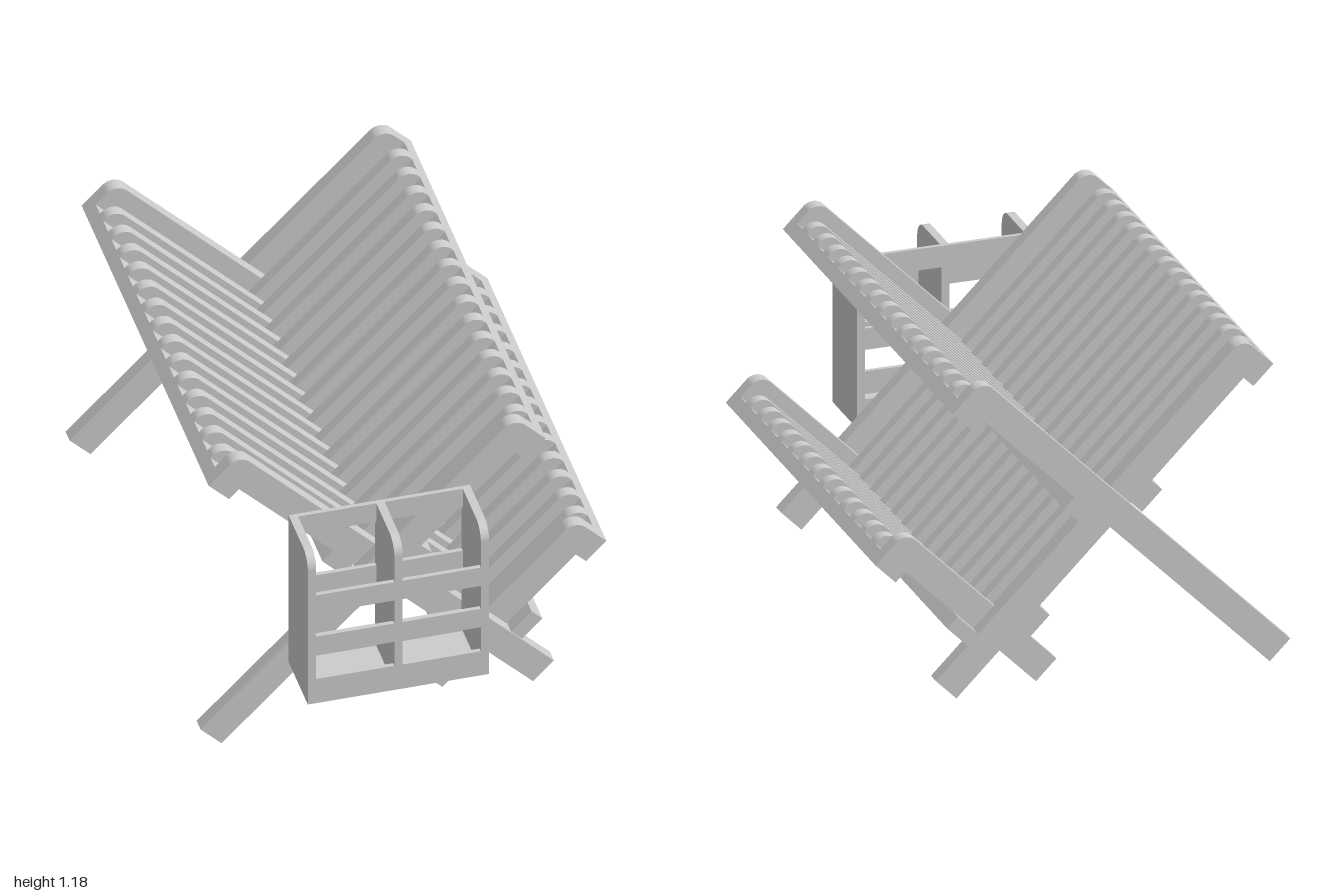
import * as THREE from 'three';

const mat = new THREE.MeshStandardMaterial({ color: 0xcccccc });
const ARM_T = 0.052, SLAT_T = 0.043, PITCH = 0.107;
const ARM_H = 0.106, RAIL_H = 0.051, HOOK_W = 0.104;

function add(parent, name, geometry, x = 0, y = 0, z = 0) {
  const mesh = new THREE.Mesh(geometry, mat);
  mesh.name = name;
  mesh.position.set(x, y, z);
  parent.add(mesh);
}

// Box given by its lower and upper limits on each axis
function block(parent, name, x0, x1, y0, y1, z0, z1) {
  add(parent, name, new THREE.BoxGeometry(x1 - x0, y1 - y0, z1 - z0),
    (x0 + x1) / 2, (y0 + y1) / 2, (z0 + z1) / 2);
}

// Plate centred on z, cut from an outline
function plate(shape, depth) {
  return new THREE.ExtrudeGeometry(shape, { depth, bevelEnabled: false, curveSegments: 8 })
    .translate(0, 0, -depth / 2);
}

// Bar along x with a rounded upper end corner and an optional hook below it
function barShape(u0, u1, v0, v1, hook) {
  const r = 0.05, s = new THREE.Shape();
  s.moveTo(u0, v0);
  if (hook) {
    s.lineTo(u1 - HOOK_W, v0);
    s.lineTo(u1 - HOOK_W, v0 - RAIL_H);
    s.lineTo(u1, v0 - RAIL_H);
  } else s.lineTo(u1, v0);
  s.lineTo(u1, v1 - r);
  s.absarc(u1 - r, v1 - r, r, 0, Math.PI / 2, false);
  s.lineTo(u0, v1);
  s.closePath();
  return s;
}

// One slatted frame, laid along x and then tilted by 45 degrees
function rackFrame(name, p) {
  const frame = new THREE.Group(), tilt = new THREE.Group();
  frame.name = name;
  tilt.rotation.z = Math.PI / 4;
  frame.add(tilt);
  const v0 = p.top - ARM_H;
  const arm = plate(barShape(p.start, p.end, v0, p.top, true), ARM_T);
  for (const side of [-1, 1]) add(tilt, 'sideArm', arm, 0, 0, side * p.armZ);

  const slat = plate(barShape(p.slatStart, p.end, v0, v0 + 0.06, false), SLAT_T);
  for (let i = 0; i < p.slats; i++)
    add(tilt, 'slat', slat, 0, 0, (i - (p.slats - 1) / 2) * PITCH);

  // Rails under the slats: hook rail first, then the stops
  const half = p.armZ + ARM_T / 2;
  block(tilt, 'hookRail', p.end - HOOK_W, p.end, v0 - RAIL_H, v0, -half, half);
  for (const u of p.rails)
    block(tilt, 'crossRail', u, u + HOOK_W, v0 - RAIL_H - 0.004, v0, -p.railZ, p.railZ);
  return frame;
}

function cutleryHolder() {
  const g = new THREE.Group();
  g.name = 'cutleryHolder';
  const x0 = -0.43, x1 = 0.22, y0 = 0.305, y1 = 0.945, z0 = 0.75, z1 = 1, t = 0.03, b = 0.016;

  // Side walls and divider with a rounded upper front corner
  const r = 0.06, s = new THREE.Shape();
  s.moveTo(z0, y0);
  s.lineTo(z1, y0);
  s.lineTo(z1, y1 - r);
  s.absarc(z1 - r, y1 - r, r, 0, Math.PI / 2, false);
  s.lineTo(z0, y1);
  s.closePath();
  const wall = plate(s, t).rotateY(-Math.PI / 2);
  add(g, 'sideWall', wall, x0 + t / 2);
  add(g, 'sideWall', wall, x1 - t / 2);
  add(g, 'divider', wall, (x0 + x1) / 2);

  // Floor, front bars and back bars
  block(g, 'floor', x0 + t, x1 - t, y0, y0 + 0.02, z0, z1);
  for (const [a, c] of [[y0, 0.41], [0.515, 0.595], [0.695, 0.775]])
    block(g, 'frontBar', x0 + t / 2, x1 - t / 2, a, c, z1 - b, z1);
  for (const [a, c] of [[y0, 0.41], [0.595, 0.675], [0.865, y1]])
    block(g, 'backBar', x0 + t / 2, x1 - t / 2, a, c, z0, z0 + b);
  return g;
}

export function createModel() {
  const model = new THREE.Group();
  model.name = 'dishRack';

  const outer = rackFrame('outerFrame', {
    start: -0.474, end: 1.119, top: 0.58, armZ: 0.849,
    slatStart: 0.354, slats: 15, rails: [0.434], railZ: 0.875,
  });
  outer.position.z = -0.125;

  // Crossing frame leans the other way
  const crossing = rackFrame('crossingFrame', {
    start: -0.474, end: 1.119, top: 0.58, armZ: 0.797,
    slatStart: -0.237, slats: 14, rails: [0.434, -0.149], railZ: 0.823,
  });
  crossing.rotation.y = Math.PI;
  crossing.position.set(-0.21, 0, -0.125);

  const lower = rackFrame('lowerFrame', {
    start: 0.106, end: 0.887, top: 0, armZ: 0.745,
    slatStart: 0.354, slats: 13, rails: [0.434], railZ: 0.823,
  });
  lower.position.z = -0.125;

  model.add(outer, crossing, lower, cutleryHolder());
  return model;
}
